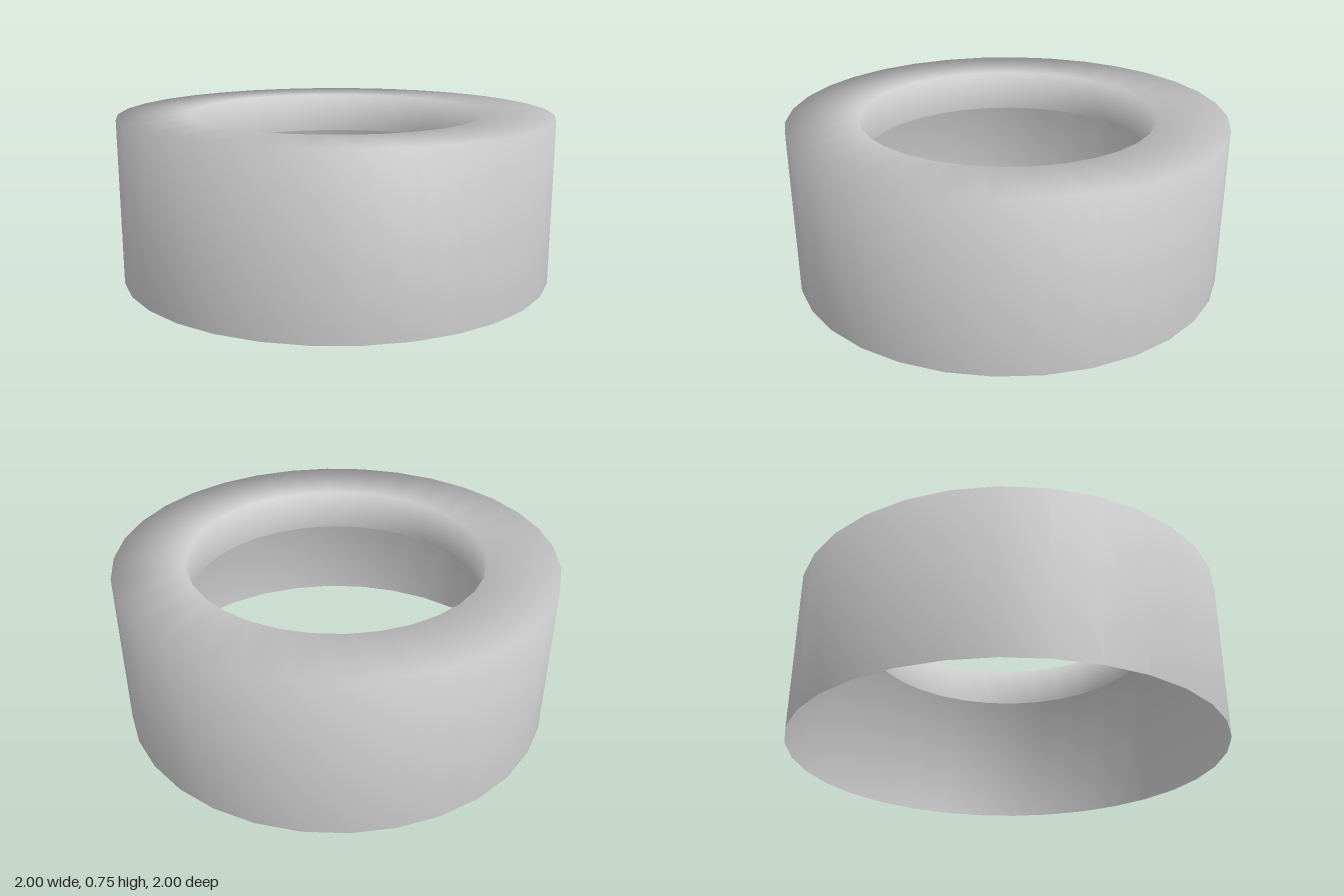
import * as THREE from 'three';

const OUTER = 1, INNER = 0.677, TOP = 0.745, LIP_BOTTOM = 0.55, SIDES = 32;

export function createModel() {
  const group = new THREE.Group();
  group.name = 'ringCap';

  // Thin open shell: outer wall, flat top rim, short lip turned down inside
  const profile = [
    [OUTER, 0],
    [OUTER, TOP],
    [INNER, TOP],
    [INNER, LIP_BOTTOM],
  ].map(([r, y]) => new THREE.Vector2(r, y));

  const shell = new THREE.Mesh(
    new THREE.LatheGeometry(profile, SIDES),
    new THREE.MeshStandardMaterial({ color: 0xcccccc, side: THREE.DoubleSide })
  );
  shell.name = 'ringShell';
  group.add(shell);
  return group;
}
